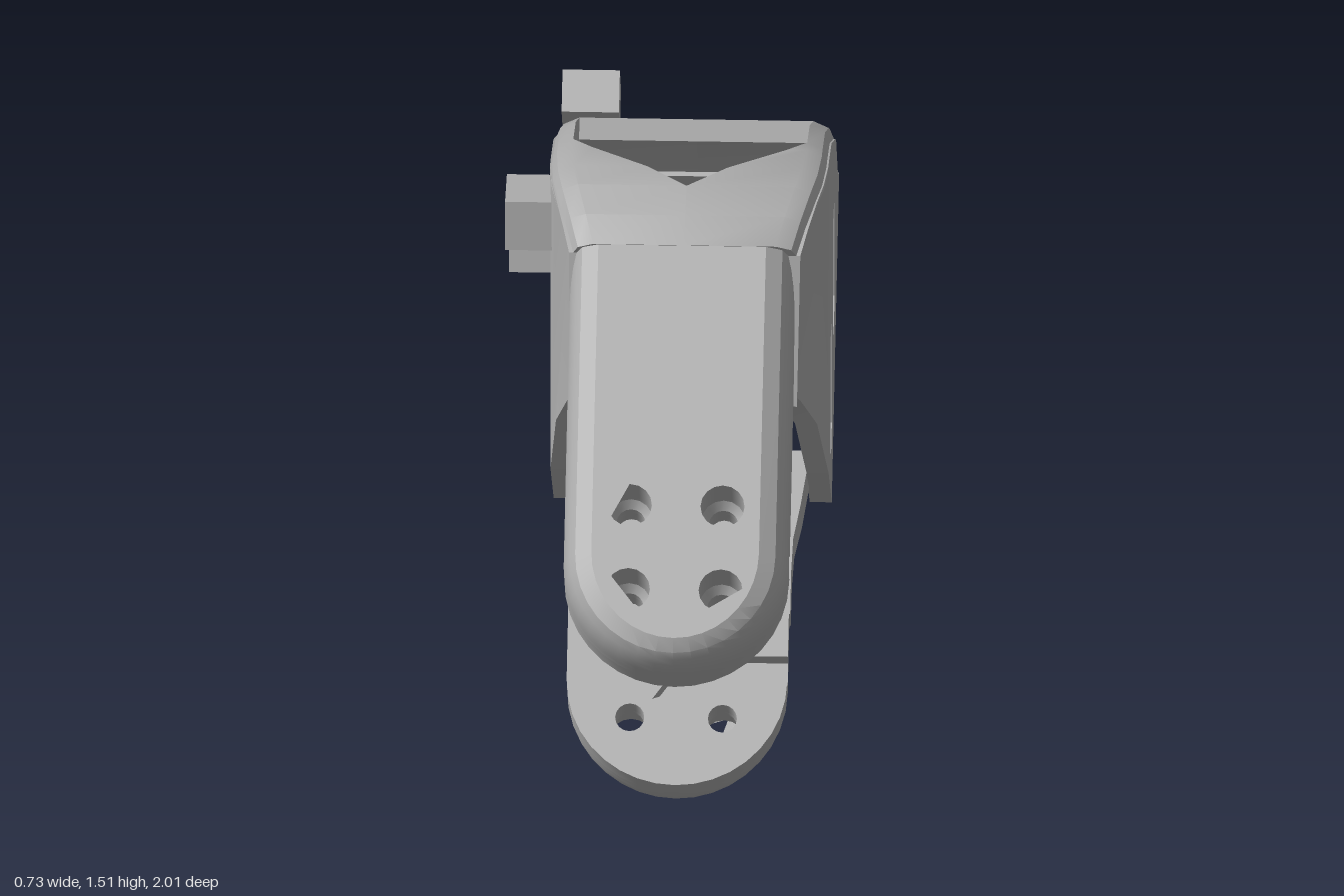
import * as THREE from 'three';
import { toCreasedNormals } from 'three/addons/utils/BufferGeometryUtils.js';

const CX = 0.04;               // centre plane of the housing
const C = 0.78, S = 0.625;     // slope of the two fingers

// Half width of the housing, narrowing toward the upper finger
const halfWidth = z => 0.315 - 0.058 * Math.min(1, Math.max(0, (z + 0.13) / 0.4)) ** 2;

// Roof line, back to front: z, y, half width of the opening in the roof
const roof = [
  [-1, 0.83, 0], [-0.935, 0.913, 0], [-0.935, 0.913, 0.2], [-0.915, 0.938, 0.2], [-0.915, 0.938, 0],
  [-0.78, 1.11, 0], [-0.7, 1.165, 0], [-0.7, 1.165, 0.265], [-0.4, 1.35, 0.265], [-0.2, 1.435, 0.265],
  [-0.13, 1.46, 0.22], [0, 1.495, 0.09], [0.1, 1.51, 0], [0.2, 1.495, 0], [0.27, 1.46, 0],
];

// Point at a signed distance from the roof line: [z, y]
function offsetRoof(i, d) {
  const [z, y] = roof[i];
  const a = roof.slice(0, i).reverse().find(p => p[0] !== z) || roof[i];
  const b = roof.slice(i + 1).find(p => p[0] !== z) || roof[i];
  const len = Math.hypot(b[0] - a[0], b[1] - a[1]);
  return [z - (b[1] - a[1]) / len * d, y + (b[0] - a[0]) / len * d];
}

// Solid through closed cross-sections of equal length
function loft(sections) {
  const n = sections[0].length, m = sections.length, index = [];
  for (let k = 0; k < m - 1; k++) {
    for (let i = 0; i < n; i++) {
      const a = k * n + i, b = k * n + (i + 1) % n;
      index.push(a, b, b + n, a, b + n, a + n);
    }
  }
  const e = (m - 1) * n;
  for (let i = 1; i < n - 1; i++) index.push(0, i + 1, i, e, e + i, e + i + 1);
  const g = new THREE.BufferGeometry();
  g.setAttribute('position', new THREE.Float32BufferAttribute(sections.flat(2), 3));
  g.setIndex(index);
  return toCreasedNormals(g.toNonIndexed(), 0.5);
}

function moveVertices(g, rule) {
  const p = g.attributes.position;
  for (let i = 0; i < p.count; i++) p.setXYZ(i, ...rule(p.getX(i), p.getY(i), p.getZ(i)));
  return toCreasedNormals(g, 0.5);
}

// Finger plate: round tip, four stepped screw holes, side notch on the inner face.
// Shape is (x, along finger); depth runs from the inner face to the rounded outer face.
function finger(name, r, length, depth, side, material) {
  const group = new THREE.Group();
  group.name = name;
  const centres = [[-0.105, -0.11], [0.105, -0.11], [-0.105, 0.09], [0.105, 0.09]];
  const rIn = 0.033, rOut = 0.05, layer = 0.05;
  const outline = notched => {
    const pts = [[r, -length]];
    if (notched) pts.push([r, -0.06], [0.02, -0.06], [-0.055, 0.045], [0.1, -0.005], [r, -0.005]);
    for (let i = 0; i <= 18; i++) {
      const a = Math.PI * i / 18;
      pts.push([r * Math.cos(a), r * Math.sin(a)]);
    }
    pts.push([-r, -length]);
    const shape = new THREE.Shape(pts.map(p => new THREE.Vector2(p[0] * side, p[1])));
    for (const [x, u] of centres) {
      shape.holes.push(new THREE.Path().absarc(x, u, rIn, 0, Math.PI * 2, true));
    }
    return shape;
  };
  const inner = new THREE.ExtrudeGeometry(outline(true),
    { depth: layer, bevelEnabled: false, curveSegments: 8 });
  const innerMesh = new THREE.Mesh(toCreasedNormals(inner, 0.5), material);
  innerMesh.name = name + 'InnerFace';

  const outerDepth = depth - layer;
  const outer = new THREE.ExtrudeGeometry(outline(false),
    { depth: outerDepth, steps: 7, bevelEnabled: false, curveSegments: 8 });
  moveVertices(outer, (x, u, w) => {
    const t = w / outerDepth;
    const hole = centres.find(c => Math.hypot(x - c[0], u - c[1]) < rIn + 0.005);
    if (hole) {
      const k = t > 0.2 ? rOut / rIn : 1;
      return [hole[0] + (x - hole[0]) * k, hole[1] + (u - hole[1]) * k, w + layer];
    }
    const k = Math.max(0, (t - 0.2) / 0.8);
    const inset = 1 - Math.sqrt(Math.max(0, 1 - k * k));
    return [x * (1 - 0.065 * inset / r), u > 0 ? u * (1 - 0.05 * inset / r) : u, w + layer];
  });
  const outerMesh = new THREE.Mesh(outer.clone(), material);
  outerMesh.geometry = toCreasedNormals(outer, 0.5);
  outerMesh.name = name + 'Shell';
  group.add(innerMesh, outerMesh);
  return group;
}

// Place a finger: tip centre at distance u along the slope and inner face at height v
function placeFinger(group, x, u, v, up) {
  const m = new THREE.Matrix4().makeBasis(
    new THREE.Vector3(up ? -1 : 1, 0, 0),
    new THREE.Vector3(0, -S, C),
    new THREE.Vector3(0, up ? C : -C, up ? S : -S));
  group.quaternion.setFromRotationMatrix(m);
  group.position.set(x, C * v - S * u, C * u + S * v);
  return group;
}

export function createModel() {
  const model = new THREE.Group();
  model.name = 'gripperHousing';
  const grey = new THREE.MeshStandardMaterial({ color: 0xb0b0b0, side: THREE.DoubleSide });
  grey.name = 'plainGrey';
  const add = (name, geometry) => {
    const mesh = new THREE.Mesh(geometry, grey);
    mesh.name = name;
    model.add(mesh);
    return mesh;
  };

  // Slots through both side walls
  const slots = [
    [[-0.29, 0.84], [-0.42, 0.81], [-0.41, 0.54], [-0.34, 0.49], [-0.28, 0.56]],
    [[-0.52, 1.03], [-0.64, 1.0], [-0.63, 0.74], [-0.56, 0.68], [-0.505, 0.745]],
  ];
  const topEdge = (from, to) => roof.map((p, i) => i)
    .filter(i => roof[i][0] >= from && roof[i][0] <= to && (i === 0 || roof[i][0] !== roof[i - 1][0]))
    .map(i => offsetRoof(i, -0.04));
  const rearWall = [[-1, 0.83], ...topEdge(-0.99, -0.13), [-0.14, 0.58], [-0.4, 0.33]];
  const frontWall = [...topEdge(-0.13, 0.27), [0.35, 1.08], [0.3, 1.07], [0.25, 1.03], [0.1, 0.87], [-0.14, 0.58]];

  for (const s of [1, -1]) {
    const label = s > 0 ? 'left' : 'right';
    const toPoints = list => list.map(([z, y]) => new THREE.Vector2(-s * z, y));
    const wall = (name, contour, holes) => {
      const shape = new THREE.Shape(toPoints(contour));
      for (const h of holes) shape.holes.push(new THREE.Path(toPoints(h)));
      const g = new THREE.ExtrudeGeometry(shape, { depth: 0.05, bevelEnabled: false });
      add(name, moveVertices(g, (a, y, d) => [CX + s * (halfWidth(-s * a) - 0.05 + d), y, -s * a]));
    };
    wall(label + 'RearWall', rearWall, slots);
    wall(label + 'FrontWall', frontWall, []);

    // Half of the roof with its rounded edge
    add(label + 'Roof', loft(roof.map(([z, , o], i) => {
      const h = halfWidth(z);
      const section = [[o, 0], [h - 0.05, 0], [h - 0.015, -0.015], [h, -0.05],
        [h - 0.05, -0.05], [o, -0.05]].map(([x, d]) => {
        const [pz, py] = offsetRoof(i, d);
        return [CX + s * x, py, pz];
      });
      return s > 0 ? section.reverse() : section;
    })));
  }

  // Upper and lower fingers
  model.add(placeFinger(finger('upperFinger', 0.255, 0.73, 0.205, -1, grey), 0.035, 0.03, 1.11, true));
  model.add(placeFinger(finger('lowerFinger', 0.25, 0.17, 0.165, 1, grey), 0.022, 0.022, 0.35, false));

  // Flared root joining the lower finger to the housing: distance, thickness, half width
  const root = [[-0.53, 0.345, 0.275], [-0.4, 0.335, 0.262], [-0.32, 0.28, 0.252],
    [-0.24, 0.21, 0.25], [-0.14, 0.165, 0.25]];
  add('lowerFingerRoot', loft(root.map(([u, t, h]) => {
    const right = [[h, 0], [h, -0.5 * t], [0.94 * h, -0.8 * t], [0.76 * h, -t]];
    const left = right.map(([x, w]) => [-x, w]).reverse();
    return [...right, ...left].reverse().map(([x, w]) => {
      const v = 0.35 + w;
      return [0.025 + (h - 0.25) * 0.5 + x, C * v - S * u, C * u + S * v];
    });
  })));

  // Cable clips on the right side
  const clips = [
    ['rearClip', [0.13, 0.1, 0.14], [-0.2, 1.17, -0.765], -0.88],
    ['frontClip', [0.11, 0.12, 0.15], [-0.32, 1.3, -0.1], -0.15],
    ['middleClip', [0.1, 0.15, 0.13], [-0.32, 1.14, -0.26], -0.3],
  ];
  for (const [name, size, position, tilt] of clips) {
    const clip = add(name, new THREE.BoxGeometry(...size));
    clip.position.set(...position);
    clip.rotation.x = tilt;
  }
  return model;
}
